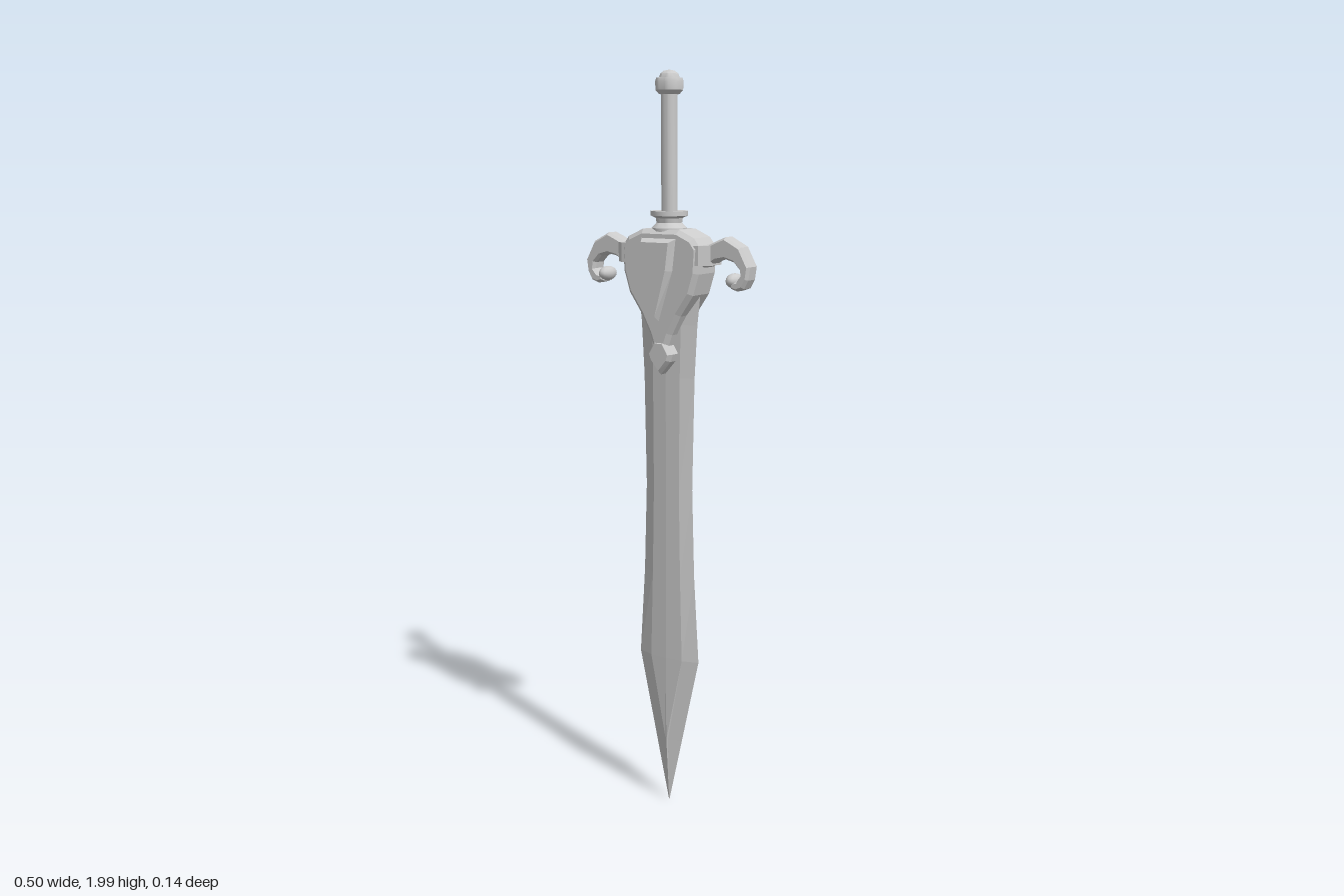
import * as THREE from 'three';
import { toCreasedNormals } from 'three/addons/utils/BufferGeometryUtils.js';

const material = new THREE.MeshStandardMaterial({ color: 0xcccccc });

function add(parent, name, geometry) {
  const mesh = new THREE.Mesh(geometry, material);
  mesh.name = name;
  parent.add(mesh);
  return mesh;
}

// Bevelled slab, centred on z = 0; the outline is its widest contour
function slab(points, halfDepth, bevelDepth, bevelSize) {
  const shape = new THREE.Shape(points.map(([x, y]) => new THREE.Vector2(x, y)));
  const depth = 2 * (halfDepth - bevelDepth);
  return new THREE.ExtrudeGeometry(shape, {
    depth, bevelEnabled: true, bevelSegments: 1,
    bevelThickness: bevelDepth, bevelSize, bevelOffset: -bevelSize,
  }).translate(0, 0, -depth / 2);
}

// Right half of an outline (top to bottom), mirrored into a closed contour
function mirrored(half) {
  const left = half.filter(([x]) => x > 0).map(([x, y]) => [-x, y]).reverse();
  return [...half, ...left];
}

function turned(profile, segments) {
  const points = profile.map(([r, y]) => new THREE.Vector2(r, y));
  return toCreasedNormals(new THREE.LatheGeometry(points, segments), 0.6);
}

// Eight-sided blade sections: [y, half width, half width of the centre, half thickness]
function bladeGeometry() {
  const rows = [
    [0.015, 0.001, 0.0005, 0.0005], [0.2, 0.042, 0.004, 0.015], [0.44, 0.095, 0.05, 0.017],
    [0.68, 0.08, 0.044, 0.017], [0.92, 0.073, 0.04, 0.017], [1.22, 0.079, 0.042, 0.017],
    [1.36, 0.087, 0.045, 0.017], [1.48, 0.1, 0.05, 0.017],
  ];
  const positions = [], index = [], n = 8;
  for (const [y, w, f, t] of rows) {
    const e = t * 0.85;
    const ring = [[w, 0], [f, e], [0, t], [-f, e], [-w, 0], [-f, -e], [0, -t], [f, -e]];
    for (const [x, z] of ring) positions.push(x, y, z);
  }
  for (let r = 0; r < rows.length - 1; r++) {
    for (let i = 0; i < n; i++) {
      const a = r * n + i, b = r * n + (i + 1) % n;
      index.push(a, a + n, b, b, a + n, b + n);
    }
  }
  for (let i = 1; i < n - 1; i++) {
    const top = (rows.length - 1) * n;
    index.push(0, i, i + 1, top, top + i + 1, top + i);
  }
  const geometry = new THREE.BufferGeometry();
  geometry.setAttribute('position', new THREE.Float32BufferAttribute(positions, 3));
  geometry.setIndex(index);
  const flat = geometry.toNonIndexed();
  flat.computeVertexNormals();
  return flat;
}

// One curled arm of the guard, on the +x side
function addArm(parent) {
  add(parent, 'armCurl', slab([
    [0.1, 1.51], [0.125, 1.512], [0.155, 1.53], [0.18, 1.535], [0.205, 1.528], [0.222, 1.51],
    [0.224, 1.494], [0.214, 1.482], [0.196, 1.478], [0.196, 1.462], [0.215, 1.456],
    [0.235, 1.463], [0.247, 1.485], [0.252, 1.518], [0.226, 1.566], [0.18, 1.59],
    [0.155, 1.58], [0.13, 1.568], [0.1, 1.567],
  ], 0.026, 0.01, 0.006));

  // Scroll end of the curl
  const scroll = add(parent, 'armScroll', new THREE.SphereGeometry(0.019, 12, 8));
  scroll.scale.set(1, 1, 1.7);
  scroll.position.set(0.197, 1.481, 0);

  // Flared root where the arm leaves the body
  const root = new THREE.Shape([
    [0.09, -0.047], [0.118, -0.047], [0.142, -0.026],
    [0.142, 0.026], [0.118, 0.047], [0.09, 0.047],
  ].map(([x, z]) => new THREE.Vector2(x, z)));
  add(parent, 'armRoot', new THREE.ExtrudeGeometry(root, { depth: 0.05, bevelEnabled: false })
    .rotateX(-Math.PI / 2).translate(0, 1.517, 0));
}

export function createModel() {
  const sword = new THREE.Group();
  sword.name = 'sword';
  add(sword, 'blade', bladeGeometry());

  // Guard body, tapering down over the blade
  const guard = new THREE.Group();
  guard.name = 'guard';
  sword.add(guard);
  add(guard, 'guardBody', slab(mirrored([
    [0.055, 1.605], [0.1, 1.585], [0.119, 1.56], [0.115, 1.495], [0.098, 1.44],
    [0.06, 1.385], [0.034, 1.335], [0.018, 1.29],
  ]), 0.05, 0.012, 0.012));

  // Raised panel on both faces
  add(guard, 'guardPanel', slab(mirrored([
    [0.052, 1.582], [0.042, 1.5], [0, 1.37],
  ]), 0.07, 0.02, 0.01));

  // Pointed stud at the lower end
  add(guard, 'guardStud', slab(mirrored([
    [0.016, 1.32], [0.037, 1.285], [0.03, 1.265], [0, 1.23],
  ]), 0.053, 0.014, 0.008));

  // Arms: the second is the first turned half a turn
  for (const [name, turn] of [['leftArm', 0], ['rightArm', Math.PI]]) {
    const arm = new THREE.Group();
    arm.name = name;
    arm.rotation.y = turn;
    addArm(arm);
    guard.add(arm);
  }

  // Collar, grip and pommel
  add(sword, 'collar', turned([
    [0, 1.595], [0.045, 1.595], [0.045, 1.607], [0.033, 1.62], [0.035, 1.632],
    [0.048, 1.638], [0.048, 1.65], [0.034, 1.65], [0, 1.645],
  ], 24));
  add(sword, 'grip', turned([[0.021, 1.63], [0.021, 1.95]], 16));
  add(sword, 'pommel', turned([
    [0, 1.94], [0.026, 1.94], [0.035, 1.95], [0.036, 1.972], [0.033, 1.98],
    [0.026, 1.981], [0.023, 1.99], [0.014, 1.997], [0, 2],
  ], 24));
  return sword;
}
